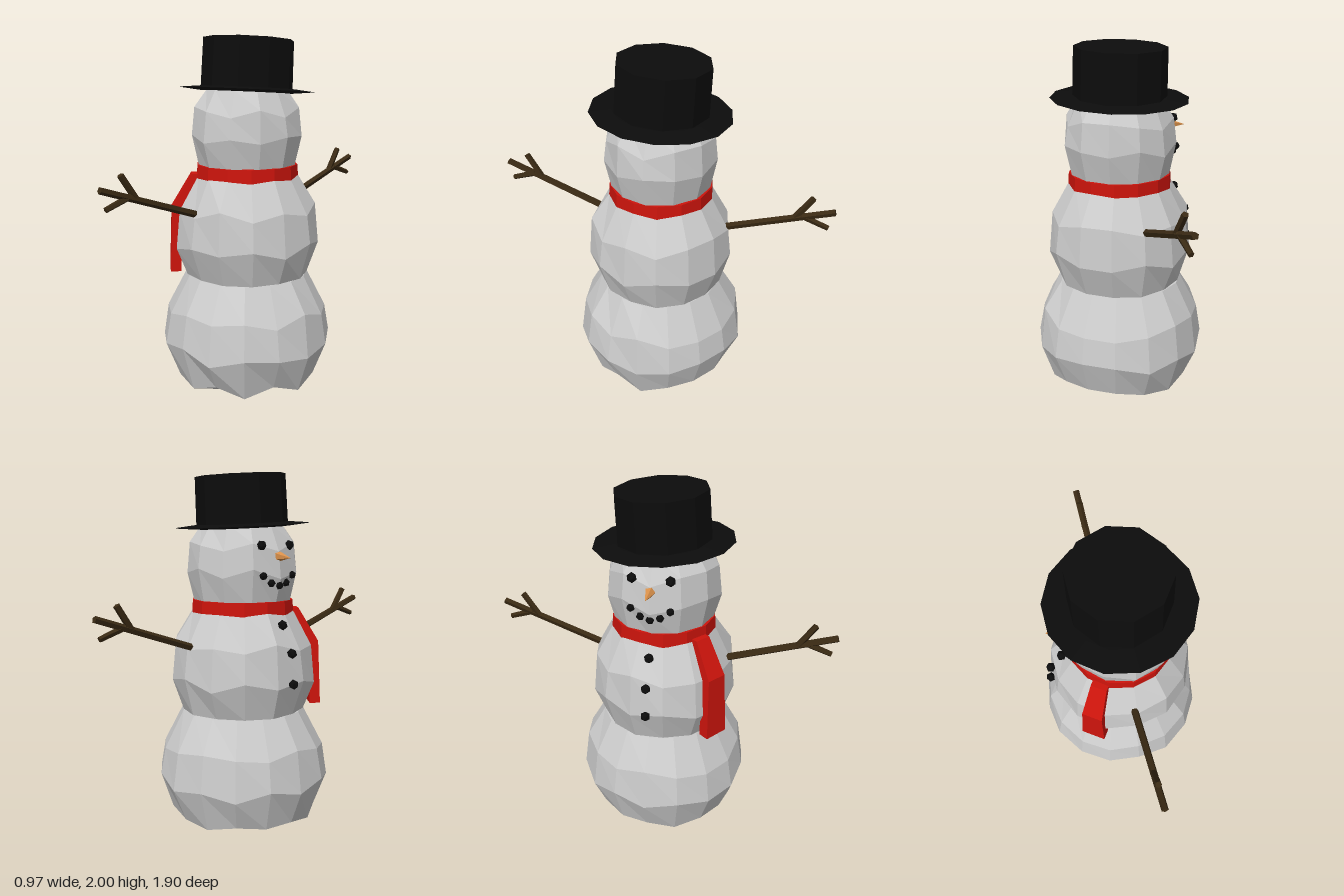
import * as THREE from 'three';

const mat = (color) => new THREE.MeshStandardMaterial({ color, flatShading: true, roughness: 0.9 });

function add(parent, name, geometry, material, position = [0, 0, 0]) {
  const mesh = new THREE.Mesh(geometry, material);
  mesh.name = name;
  mesh.position.set(...position);
  parent.add(mesh);
  return mesh;
}

const lathe = (points, sides, turn = 0) =>
  new THREE.LatheGeometry(points.map(([r, y]) => new THREE.Vector2(r, y)), sides, turn);

// Hand-packed snow: a faceted lathe whose vertices are nudged by a smooth rule
function snowball(points, sides, seed) {
  const g = lathe(points, sides);
  const p = g.attributes.position;
  const v = new THREE.Vector3();
  for (let i = 0; i < p.count; i++) {
    v.fromBufferAttribute(p, i);
    const r = Math.hypot(v.x, v.z);
    const amount = Math.min(1, r * 4);
    const a = Math.sin(v.x * 19 + v.y * 31 + seed) * Math.cos(v.z * 23 + seed * 2);
    const b = Math.sin(v.z * 17 - v.x * 13 + v.y * 9 + seed * 3);
    const swell = 1 + 0.016 * a * amount;
    const top = points[points.length - 1][1];
    const lift = v.y > points[0][1] + 0.05 && v.y < top - 0.05 ? 0.028 * b : 0;
    p.setXYZ(i, v.x * swell, v.y + lift * amount, v.z * swell);
  }
  g.computeVertexNormals();
  return g;
}

// Tapered stick between two points
function stick(parent, name, from, to, r0, r1, material) {
  const a = new THREE.Vector3(...from);
  const d = new THREE.Vector3(...to).sub(a);
  const mesh = add(parent, name, new THREE.CylinderGeometry(r1, r0, d.length(), 5), material);
  mesh.position.copy(a).addScaledVector(d, 0.5);
  mesh.quaternion.setFromUnitVectors(new THREE.Vector3(0, 1, 0), d.normalize());
}

// Hanging scarf end: box rows moved onto the given cross-sections
function scarfTail() {
  const rows = [[0.14, 0.415, 0.71], [0.115, 0.4, 1.07], [0.09, 0.285, 1.26]]; // width, distance out, height
  const out = new THREE.Vector3(-0.58, 0, 0.81);
  const along = new THREE.Vector3(0.81, 0, 0.58);
  const g = new THREE.BoxGeometry(1, 2, 1, 1, 2, 1);
  const p = g.attributes.position;
  for (let i = 0; i < p.count; i++) {
    const [w, d, y] = rows[Math.round(p.getY(i) + 1)];
    const v = new THREE.Vector3(0, y, 0)
      .addScaledVector(along, p.getX(i) * w)
      .addScaledVector(out, d + p.getZ(i) * 0.06);
    p.setXYZ(i, v.x, v.y, v.z);
  }
  g.computeVertexNormals();
  return g;
}

export function createModel() {
  const model = new THREE.Group();
  model.name = 'snowman';
  const snow = mat(0xcccccc);
  const black = mat(0x0c0c0c);
  const red = mat(0xcc140c);
  const wood = mat(0x3a2a14);
  const carrot = mat(0xd9904a);

  // Body
  add(model, 'lowerBody', snowball([[0, 0], [0.21, 0.02], [0.415, 0.1], [0.488, 0.3],
    [0.458, 0.5], [0.35, 0.69], [0, 0.7]], 16, 1), snow);
  add(model, 'middleBody', snowball([[0, 0.68], [0.35, 0.69], [0.41, 0.87], [0.388, 1.07],
    [0.285, 1.25], [0, 1.26]], 14, 2.3), snow);
  add(model, 'head', snowball([[0, 1.27], [0.27, 1.28], [0.312, 1.46], [0.295, 1.6],
    [0.23, 1.72], [0, 1.73]], 12, 4.1), snow);

  // Scarf
  const scarf = new THREE.Group();
  scarf.name = 'scarf';
  add(scarf, 'scarfBand', lathe([[0.2, 1.235], [0.29, 1.235], [0.285, 1.31], [0.2, 1.315]], 14), red);
  add(scarf, 'scarfTail', scarfTail(), red);
  model.add(scarf);

  // Hat, tipped slightly backwards
  const hat = new THREE.Group();
  hat.name = 'hat';
  add(hat, 'brim', lathe([[0, -0.012], [0.26, -0.012], [0.378, 0], [0.26, 0.012], [0, 0.012]], 14), black);
  add(hat, 'crown', new THREE.CylinderGeometry(0.25, 0.256, 0.27, 10), black, [0, 0.135, 0]);
  hat.position.set(0, 1.718, 0);
  hat.rotation.x = -0.058;
  model.add(hat);

  // Face and buttons look towards -x
  const nose = add(model, 'nose', new THREE.ConeGeometry(0.036, 0.12, 5), carrot, [-0.325, 1.55, 0]);
  nose.rotation.z = Math.PI / 2 + 0.08;
  const coal = (name, x, y, z, r) => {
    const lump = add(model, name, new THREE.IcosahedronGeometry(r, 0), black, [x, y, z]);
    lump.rotation.set(y * 7, z * 30, x * 9);
  };
  for (const s of [-1, 1]) coal(s > 0 ? 'rightEye' : 'leftEye', -0.27, 1.61, s * 0.1, 0.028);
  for (let i = -2; i <= 2; i++) {
    coal('mouthCoal', -0.302 + 0.006 * Math.abs(i), 1.4 + 0.013 * i * i, i * 0.052, 0.023);
  }
  for (const [x, y] of [[-0.33, 1.19], [-0.403, 1.045], [-0.418, 0.88]]) coal('button', x, y, 0, 0.028);

  // Twig arms along both z directions
  for (const s of [-1, 1]) {
    const arm = new THREE.Group();
    arm.name = s > 0 ? 'frontArm' : 'backArm';
    stick(arm, 'branch', [-0.013, 1.065, s * 0.36], [-0.018, 1.265, s * 0.945], 0.021, 0.019, wood);
    stick(arm, 'upperTwig', [-0.018, 1.195, s * 0.74], [-0.022, 1.325, s * 0.825], 0.019, 0.018, wood);
    stick(arm, 'lowerTwig', [-0.016, 1.215, s * 0.775], [-0.014, 1.165, s * 0.92], 0.018, 0.015, wood);
    model.add(arm);
  }
  return model;
}
